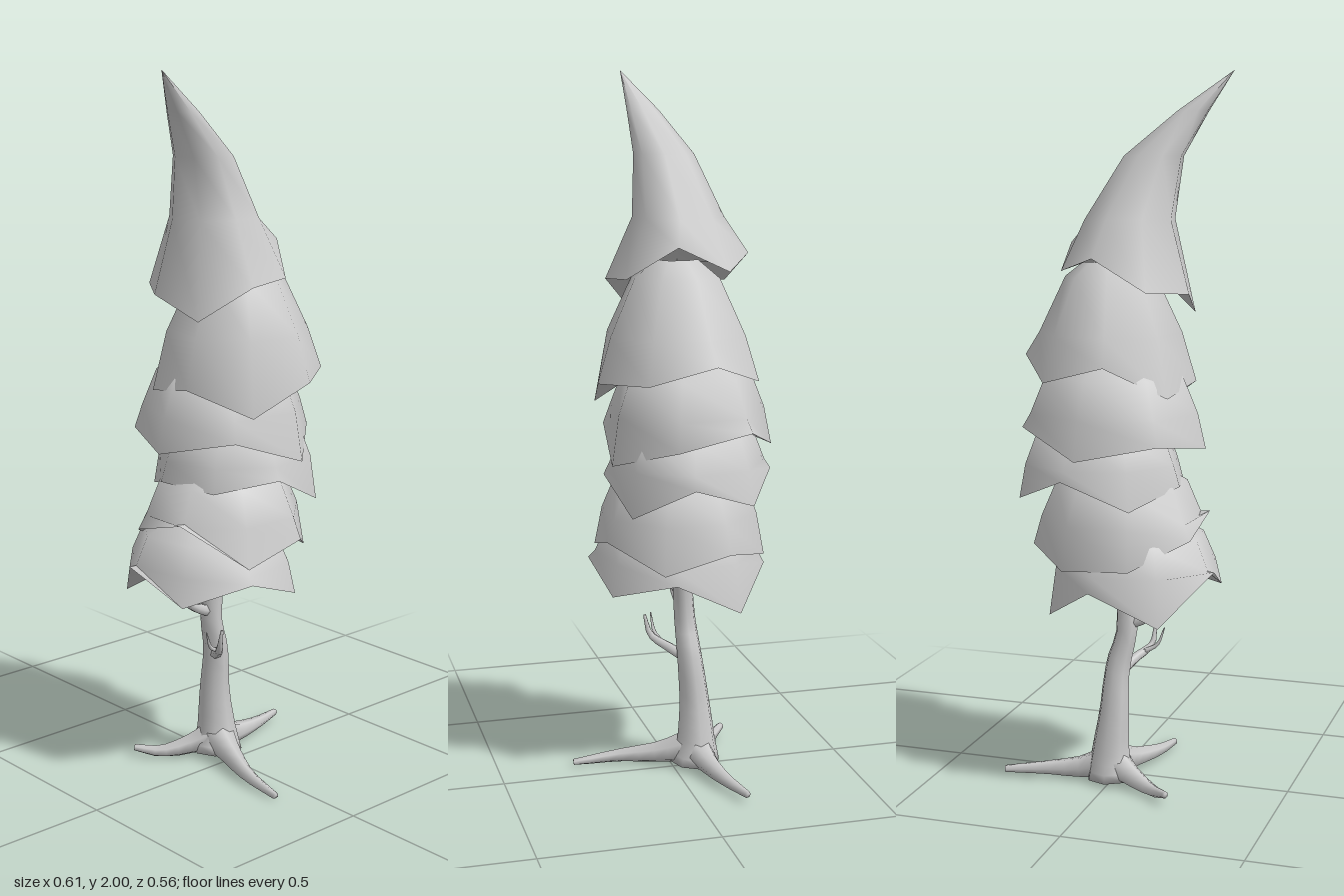
import * as THREE from 'three';

const V = (x, y, z) => new THREE.Vector3(x, y, z);
const { lerp, degToRad } = THREE.MathUtils;
const material = new THREE.MeshStandardMaterial({ color: 0xcccccc, side: THREE.DoubleSide });

// Join closed rings of points into one smooth skin
function skin(rings) {
  const n = rings[0].length, index = [];
  for (let i = 0; i < rings.length - 1; i++) {
    for (let j = 0; j < n; j++) {
      const a = i * n + j, c = i * n + (j + 1) % n;
      index.push(a, c, a + n, c, c + n, a + n);
    }
  }
  const g = new THREE.BufferGeometry().setFromPoints(rings.flat());
  g.setIndex(index);
  g.computeVertexNormals();
  return g;
}

function add(parent, name, geometry) {
  const mesh = new THREE.Mesh(geometry, material);
  mesh.name = name;
  parent.add(mesh);
}

// Tapered limb along a curve, closed at both ends and kept above the ground
function limb(points, radii, steps, sides) {
  const curve = new THREE.CatmullRomCurve3(points.map(p => V(...p)));
  const { normals, binormals } = curve.computeFrenetFrames(steps);
  const ring = (i, scale) => {
    const t = i / steps, f = t * (radii.length - 1), k = Math.min(Math.floor(f), radii.length - 2);
    const r = scale * lerp(radii[k], radii[k + 1], f - k);
    const c = curve.getPoint(t);
    return Array.from({ length: sides }, (_, j) => {
      const a = j / sides * Math.PI * 2;
      const p = c.clone().addScaledVector(normals[i], Math.cos(a) * r).addScaledVector(binormals[i], Math.sin(a) * r);
      p.y = Math.max(p.y, 0);
      return p;
    });
  };
  const rings = [ring(0, 0)];
  for (let i = 0; i <= steps; i++) rings.push(ring(i, 1));
  rings.push(ring(steps, 0));
  return skin(rings);
}

// Foliage tier: the shoulder is narrower than the hem, whose corner heights
// run from the left side (+x) round by the front (+z), turned by some degrees
function foliageTier({ shoulder, taper, turn, cx, cz, rx, rz, hem, spire }) {
  const mean = hem.reduce((s, y) => s + y) / hem.length;
  const ring = (height, x, z, rX, rZ) => hem.map((y, j) => {
    const a = degToRad(turn) + j / hem.length * Math.PI * 2;
    return V(x + Math.cos(a) * rX, height(y), z + Math.sin(a) * rZ);
  });
  const level = (y, s) => ring(() => y, cx, cz, rx * s, rz * s);
  const upper = spire
    ? spire.map(([y, x, z, r]) => ring(() => y, x, z, r, r))
    : [level(shoulder + 0.05, taper * 0.5), level(shoulder, taper), level(lerp(shoulder, mean, 0.55), lerp(taper, 1, 0.65))];
  const rim = ring(y => y, cx, cz, rx, rz);
  const tuck = (s, lift) => ring(y => lerp(mean, y, s) + lift, cx, cz, rx * s, rz * s);
  const tier = new THREE.Group();
  add(tier, 'foliageSkirt', skin([...upper, rim]));
  add(tier, 'foliageUnderside', skin([rim, tuck(0.65, 0.03), tuck(0, 0.04)]));
  return tier;
}

// Bent spire of the top tier: height, centre x, centre z, radius
const spire = [[2, -0.305, 0.075, 0], [1.89, -0.2, 0.035, 0.045], [1.77, -0.1, 0, 0.085], [1.6, -0.04, -0.025, 0.128]];

const tiers = [
  { spire, turn: 13, cx: -0.035, cz: -0.02, rx: 0.19, rz: 0.2, hem: [1.53, 1.44, 1.43, 1.34, 1.4, 1.41, 1.5, 1.46] },
  { shoulder: 1.44, taper: 0.53, turn: -13, cx: 0.025, cz: 0, rx: 0.24, rz: 0.24, hem: [1.22, 1.17, 1.16, 1.08, 1.15, 1.12, 1.21, 1.16] },
  { shoulder: 1.17, taper: 0.75, turn: 20, cx: 0.005, cz: -0.035, rx: 0.262, rz: 0.245, hem: [0.99, 0.93, 1.01, 0.97, 1, 0.96, 1.03] },
  { shoulder: 1.01, taper: 0.79, turn: 10, cx: 0.04, cz: -0.03, rx: 0.242, rz: 0.235, hem: [0.89, 0.8, 0.89, 0.86, 0.87, 0.82, 0.9, 0.83] },
  { shoulder: 0.87, taper: 0.74, turn: 24, cx: -0.015, cz: -0.02, rx: 0.25, rz: 0.245, hem: [0.64, 0.71, 0.66, 0.78, 0.73, 0.66, 0.65, 0.69] },
  { shoulder: 0.72, taper: 0.78, turn: 14, cx: -0.06, cz: -0.025, rx: 0.25, rz: 0.255, hem: [0.6, 0.55, 0.62, 0.56, 0.64, 0.51, 0.6, 0.5] },
];

export function createModel() {
  const tree = new THREE.Group();
  tree.name = 'tree';

  // Foliage: overlapping skirts with jagged hems
  tiers.forEach((spec, i) => {
    const tier = foliageTier(spec);
    tier.name = `foliageTier${i + 1}`;
    tree.add(tier);
  });

  // Trunk
  add(tree, 'trunk', limb(
    [[0, 0.015, -0.065], [0.003, 0.08, -0.068], [-0.006, 0.2, -0.065], [-0.014, 0.34, -0.052], [-0.038, 0.45, -0.044], [-0.02, 0.66, -0.03]],
    [0.075, 0.057, 0.044, 0.036, 0.031, 0.028], 14, 8));

  // Roots: two bends and a tip, all starting inside the trunk
  const roots = [
    [[0.08, 0.037, -0.08], [0.19, 0.027, -0.1], [0.303, 0.022, -0.133]],
    [[-0.03, 0.037, 0.03], [-0.07, 0.022, 0.15], [-0.085, 0.008, 0.28]],
    [[-0.06, 0.037, -0.1], [-0.14, 0.018, -0.15], [-0.2, 0.03, -0.205]],
  ];
  for (const path of roots) add(tree, 'root', limb([[0, 0.06, -0.065], ...path], [0.053, 0.032, 0.019, 0.01], 8, 6));

  // Branches and their small twigs
  const branch = (name, r, ...path) => add(tree, name, limb(path, [r, r * 0.7, r * 0.25], 8, 6));
  branch('lowerBranch', 0.018, [-0.02, 0.32, -0.05], [-0.05, 0.35, 0], [-0.085, 0.38, 0.045], [-0.09, 0.44, 0.062]);
  branch('lowerTwig', 0.008, [-0.07, 0.365, 0.02], [-0.105, 0.385, 0.03], [-0.125, 0.435, 0.035]);
  branch('upperBranch', 0.02, [-0.03, 0.46, -0.042], [-0.09, 0.48, -0.04], [-0.14, 0.52, -0.035], [-0.155, 0.6, -0.03]);
  branch('upperTwig', 0.008, [-0.1, 0.49, -0.04], [-0.095, 0.53, -0.02], [-0.08, 0.56, -0.015]);

  return tree;
}
